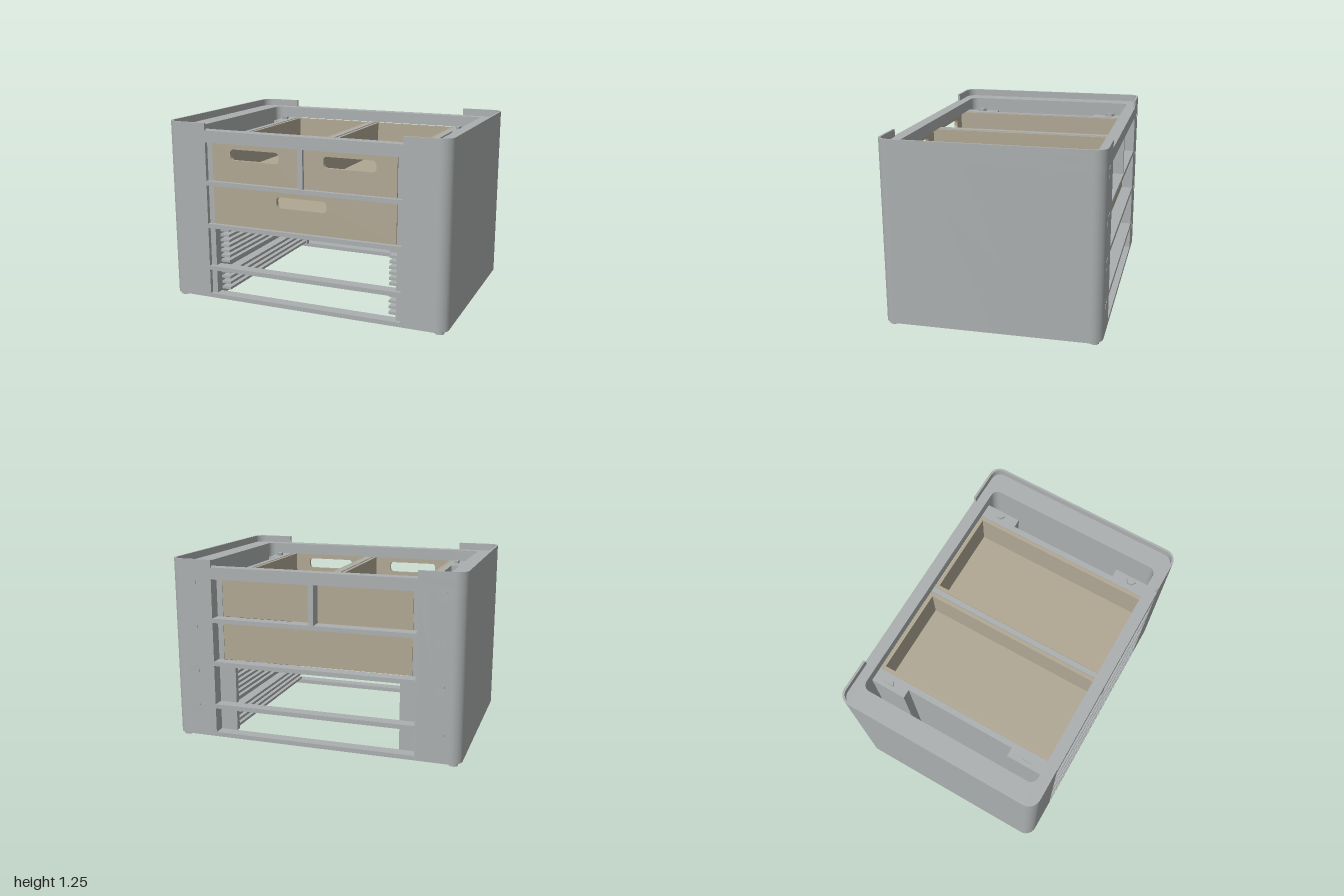
import * as THREE from 'three';
import { toCreasedNormals } from 'three/addons/utils/BufferGeometryUtils.js';

const W = 1, D = 0.718, R = 0.08; // outer half width, half depth, corner radius
const IW = 0.85, ID = 0.637; // half size of the inner opening
const FLOOR = 0.02, BAR = 0.03, RING = 1.12, TOP = 1.2;

const grey = new THREE.MeshStandardMaterial({ color: 0xabafaf });
grey.name = 'grey plastic';
const tan = new THREE.MeshStandardMaterial({ color: 0xb0a793 });
tan.name = 'tan plastic';

function add(parent, name, geometry, material) {
  const mesh = new THREE.Mesh(geometry, material);
  mesh.name = name;
  parent.add(mesh);
  return mesh;
}

// Box given by its limits on each axis
function box(parent, name, x0, x1, y0, y1, z0, z1, material = grey) {
  const mesh = add(parent, name, new THREE.BoxGeometry(x1 - x0, y1 - y0, z1 - z0), material);
  mesh.position.set((x0 + x1) / 2, (y0 + y1) / 2, (z0 + z1) / 2);
  return mesh;
}

// Plan shape raised from y0 to y1
function slab(shape, y0, y1) {
  const g = new THREE.ExtrudeGeometry(shape, { depth: y1 - y0, bevelEnabled: false, curveSegments: 10 });
  g.rotateX(-Math.PI / 2).translate(0, y0, 0);
  return toCreasedNormals(g, 0.6);
}

function roundedRect(path, x0, x1, y0, y1, r) {
  path.moveTo(x0 + r, y0);
  path.lineTo(x1 - r, y0);
  path.absarc(x1 - r, y0 + r, r, -Math.PI / 2, 0);
  path.lineTo(x1, y1 - r);
  path.absarc(x1 - r, y1 - r, r, 0, Math.PI / 2);
  path.lineTo(x0 + r, y1);
  path.absarc(x0 + r, y1 - r, r, Math.PI / 2, Math.PI);
  path.lineTo(x0, y0 + r);
  path.absarc(x0 + r, y0 + r, r, Math.PI, Math.PI * 1.5);
  return path;
}

// C-shaped plan of one side, between the outer outline and an inner one
function sideShape(iw, id, ir) {
  const s = new THREE.Shape();
  s.moveTo(0.7, -D);
  s.lineTo(W - R, -D);
  s.absarc(W - R, -D + R, R, -Math.PI / 2, 0);
  s.lineTo(W, D - R);
  s.absarc(W - R, D - R, R, 0, Math.PI / 2);
  s.lineTo(0.7, D);
  s.lineTo(0.7, id);
  s.lineTo(iw - ir, id);
  s.absarc(iw - ir, id - ir, ir, Math.PI / 2, 0, true);
  s.lineTo(iw, -id + ir);
  s.absarc(iw - ir, -id + ir, ir, 0, -Math.PI / 2, true);
  s.lineTo(0.7, -id);
  s.closePath();
  return s;
}

// Double dovetail outline, waist in the middle
function dovetail(w, h) {
  return new THREE.Shape([[-w, -h], [0, -h * 0.45], [w, -h], [w, h], [0, h * 0.45], [-w, h]]
    .map(([x, y]) => new THREE.Vector2(x, y)));
}

// Side unit, built for +x
function makeSide() {
  const side = new THREE.Group();
  add(side, 'side shell', slab(sideShape(IW, ID, 0.05), FLOOR, RING), grey);
  add(side, 'raised lip', slab(sideShape(W - 0.015, D - 0.015, R - 0.015), TOP, 1.25), grey);
  box(side, 'inner wall', 0.66, 0.7, FLOOR, RING, -ID, 0.69);
  for (const e of [-1, 1]) {
    const [z0, z1] = e > 0 ? [0.39, ID] : [-ID, -0.39];
    box(side, 'corner column', 0.7, 0.76, FLOOR, RING, z0, z1);
    box(side, 'corner floor', 0.76, IW, FLOOR, 0.05, z0, z1);
    // Dovetail tongue on top of the column
    const key = new THREE.Shape([[0.7, -0.015], [0.73, -0.035], [0.73, 0.035], [0.7, 0.015]]
      .map(([x, y]) => new THREE.Vector2(x, y + e * 0.52)));
    add(side, 'column dovetail', slab(key, RING, RING + 0.02), grey);
    const foot = add(side, 'foot', new THREE.CylinderGeometry(0.03, 0.03, FLOOR, 24), grey);
    foot.position.set(0.945, FLOOR / 2, e * 0.665);
  }
  return side;
}

// Slotted tray runners, built for +x
function makeRunners() {
  const runners = new THREE.Group();
  for (const [y0, y1, count] of [[0.05, 0.21, 4], [0.25, 0.51, 7]]) {
    box(runners, 'runner stop', 0.58, 0.66, y0, y1, -ID, -0.6);
    const pitch = (y1 - y0) / count;
    for (let i = 0; i < count; i++) {
      const y = y0 + (i + 0.5) * pitch;
      box(runners, 'tray runner', 0.59, 0.66, y - 0.009, y + 0.009, -0.6, 0.63);
    }
  }
  return runners;
}

// Open drawer with a slotted front
function makeDrawer(x0, x1, y0, y1) {
  const drawer = new THREE.Group();
  const t = 0.025, back = -ID, front = 0.695, c = (x0 + x1) / 2;
  box(drawer, 'drawer floor', x0, x1, y0, y0 + 0.02, back, front - t, tan);
  box(drawer, 'drawer back', x0, x1, y0 + 0.02, y1, back, back + t, tan);
  for (const x of [x0, x1 - t]) {
    box(drawer, 'drawer side', x, x + t, y0 + 0.02, y1, back + t, front - t, tan);
  }
  const face = new THREE.Shape([[x0, y0], [x1, y0], [x1, y1], [x0, y1]]
    .map(([x, y]) => new THREE.Vector2(x, y)));
  face.holes.push(roundedRect(new THREE.Path(), c - 0.18, c + 0.18, y1 - 0.11, y1 - 0.035, 0.025));
  const g = new THREE.ExtrudeGeometry(face, { depth: t, bevelEnabled: false, curveSegments: 6 });
  add(drawer, 'drawer front', toCreasedNormals(g, 0.6), tan).position.z = front - t;
  return drawer;
}

export function createModel() {
  const model = new THREE.Group();
  model.name = 'drawer cabinet';

  // Mirrored sides and runners
  for (const s of [1, -1]) {
    const side = makeSide();
    side.name = s > 0 ? 'left side' : 'right side';
    // A half turn would swap front and back walls, so the walls are mirrored in place
    side.traverse((m) => {
      if (!m.isMesh || s > 0) return;
      if (m.name === 'inner wall') m.position.x *= -1;
      else {
        m.geometry.rotateY(Math.PI);
        m.position.x *= -1;
        m.position.z *= -1;
      }
    });
    model.add(side);
    const runners = makeRunners();
    runners.name = s > 0 ? 'left runners' : 'right runners';
    for (const m of runners.children) m.position.x *= s;
    model.add(runners);
  }

  // Top ring
  const ring = roundedRect(new THREE.Shape(), -W, W, -D, D, R);
  ring.holes.push(roundedRect(new THREE.Path(), -IW, IW, -ID, ID, 0.05));
  add(model, 'top ring', slab(ring, RING, TOP), grey);

  // Cross bars, front and back
  for (const y of [FLOOR, 0.222, 0.525, 0.825]) {
    box(model, 'front bar', -0.7, 0.7, y, y + BAR, ID, D);
    box(model, 'back bar', -0.7, 0.7, y, y + BAR, -D, -ID);
  }
  box(model, 'drawer divider', -0.018, 0.018, 0.855, RING, -D + 0.005, D - 0.01);

  // Drawers
  const drawers = [[-0.658, -0.022, 0.857, 1.117], [0.022, 0.658, 0.857, 1.117], [-0.658, 0.658, 0.557, 0.822]];
  drawers.forEach((d, i) => {
    const drawer = makeDrawer(...d);
    drawer.name = ['upper right drawer', 'upper left drawer', 'wide drawer'][i];
    model.add(drawer);
  });

  // Dovetail inlays on the back
  for (const x of [-0.85, 0.85]) {
    for (const y of [0.21, 0.5, 0.79, 1.09]) {
      const g = new THREE.ExtrudeGeometry(dovetail(0.035, 0.035), { depth: 0.004, bevelEnabled: false });
      add(model, 'back dovetail', g, grey).position.set(x, y, -D - 0.002);
    }
  }
  return model;
}
